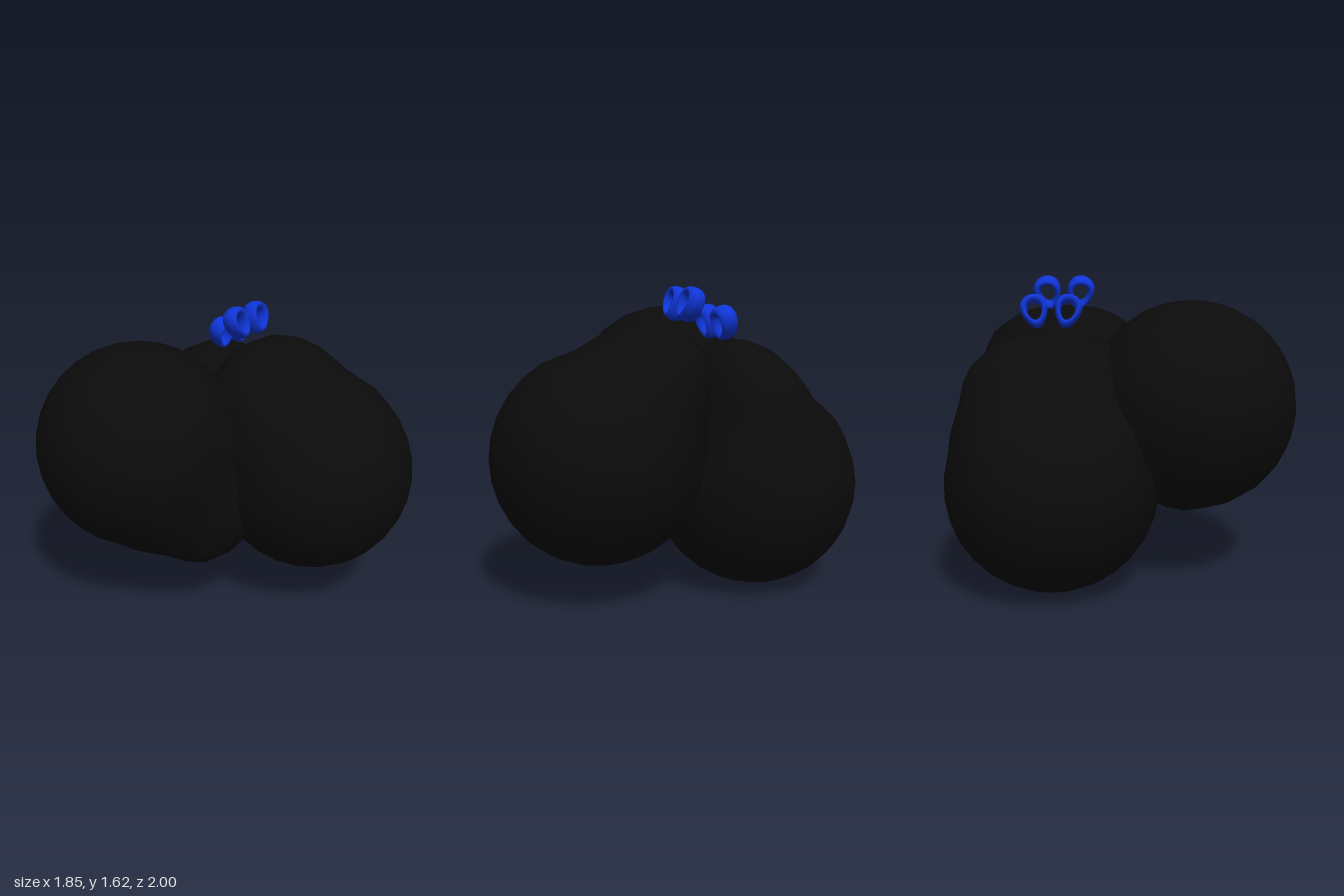
import * as THREE from 'three';
import { mergeVertices } from 'three/addons/utils/BufferGeometryUtils.js';

const black = new THREE.MeshStandardMaterial({ color: 0x0b0b0b });
const blue = new THREE.MeshStandardMaterial({ color: 0x0f35d8 });

// Pear-shaped sack along +y: a round belly at the origin, a neck flattened in z
function sackGeometry() {
  const R = 0.56;
  const points = [];
  for (let i = 0; i <= 10; i++) {
    const a = -Math.PI / 2 + (i / 10) * (Math.PI / 2 + 0.48);
    points.push(new THREE.Vector2(Math.max(0, R * Math.cos(a)), R * Math.sin(a)));
  }
  const neck = [[0.37, 0.42], [0.315, 0.52], [0.265, 0.61], [0.19, 0.71], [0.1, 0.775], [0, 0.79]];
  neck.forEach(([r, t]) => points.push(new THREE.Vector2(r, t)));
  let geometry = new THREE.LatheGeometry(points, 28);
  const p = geometry.attributes.position;
  for (let i = 0; i < p.count; i++) {
    const k = THREE.MathUtils.smoothstep(p.getY(i), 0.15, 0.72);
    p.setX(i, p.getX(i) * (1 + 0.68 * k));
  }
  geometry.deleteAttribute('uv');
  geometry.deleteAttribute('normal');
  geometry = mergeVertices(geometry, 1e-4);
  geometry.computeVertexNormals();
  return geometry;
}

// Broad ribbon loop, narrowing toward its foot
function loopGeometry() {
  const geometry = new THREE.TorusGeometry(0.063, 0.02, 10, 28);
  const p = geometry.attributes.position;
  for (let i = 0; i < p.count; i++) {
    const y = p.getY(i);
    p.setXYZ(i, p.getX(i) * (0.85 + 3 * y), y * 1.12, p.getZ(i) * 2.4);
  }
  geometry.computeVertexNormals();
  return geometry;
}

export function createModel() {
  const group = new THREE.Group();
  const sack = sackGeometry();
  const loop = loopGeometry();

  // axis: direction of the neck; wide: direction in which the neck is broad
  const bags = [
    { name: 'frontBag', at: [0.3, 0.755, 0.44], axis: [0, 0.84, -0.55], wide: [1, 0, 0] },
    { name: 'backBag', at: [0.365, 0.56, -0.44], axis: [0, 0.975, 0.21], wide: [1, 0, 0] },
    { name: 'sideBag', at: [-0.37, 0.94, -0.25], axis: [0.6, -0.55, 0.66], wide: [0.74, 0.66, -0.13] },
  ];
  for (const { name, at, axis, wide } of bags) {
    const y = new THREE.Vector3(...axis).normalize();
    const z = new THREE.Vector3(...wide).cross(y).normalize();
    const x = new THREE.Vector3().crossVectors(y, z);
    const mesh = new THREE.Mesh(sack, black);
    mesh.name = name;
    mesh.quaternion.setFromRotationMatrix(new THREE.Matrix4().makeBasis(x, y, z));
    mesh.position.set(...at);
    group.add(mesh);
  }

  // Two-loop bows on the upright necks
  const bows = [
    { name: 'frontBow', at: [0.306, 1.53, -0.035], tilt: -0.3 },
    { name: 'backBow', at: [0.372, 1.437, -0.2], tilt: 0.3 },
  ];
  for (const { name, at, tilt } of bows) {
    const bow = new THREE.Group();
    bow.name = name;
    bow.position.set(...at);
    bow.rotation.x = tilt;
    for (const side of [-1, 1]) {
      const mesh = new THREE.Mesh(loop, blue);
      mesh.name = side > 0 ? 'leftLoop' : 'rightLoop';
      mesh.position.x = side * 0.088;
      mesh.rotation.z = -side * 0.22;
      bow.add(mesh);
    }
    group.add(bow);
  }
  return group;
}
